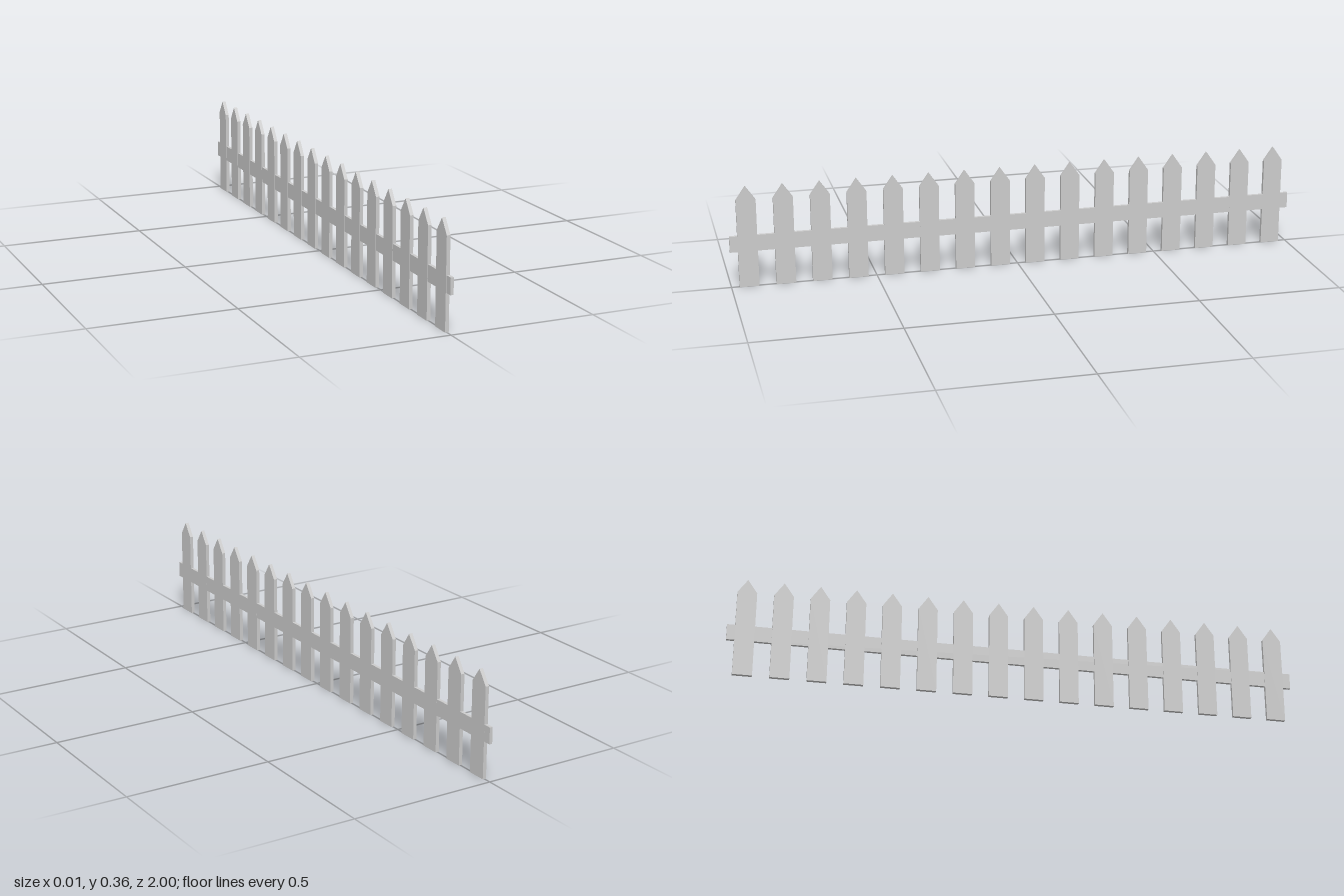
import * as THREE from 'three';

export function createModel() {
  const fence = new THREE.Group();
  fence.name = 'picketFence';
  const material = new THREE.MeshStandardMaterial({ color: 0xcccccc, flatShading: true });

  const count = 16, firstZ = 0.939;
  const halfWidth = 0.0335, shoulder = 0.308, tip = 0.356, thickness = 0.0126;

  // Pointed board, extruded and turned so its thickness runs along x
  const outline = new THREE.Shape([
    new THREE.Vector2(-halfWidth, 0),
    new THREE.Vector2(halfWidth, 0),
    new THREE.Vector2(halfWidth, shoulder),
    new THREE.Vector2(0, tip),
    new THREE.Vector2(-halfWidth, shoulder),
  ]);
  const picketGeometry = new THREE.ExtrudeGeometry(outline, { depth: thickness, bevelEnabled: false });
  picketGeometry.translate(0, 0, -thickness / 2).rotateY(Math.PI / 2);

  // Evenly spaced pickets
  for (let i = 0; i < count; i++) {
    const picket = new THREE.Mesh(picketGeometry, material);
    picket.name = `picket${i + 1}`;
    picket.position.z = firstZ - (2 * firstZ * i) / (count - 1);
    fence.add(picket);
  }

  // Horizontal rail, all but flush with the +x faces and recessed on the other side
  const rail = new THREE.Mesh(new THREE.BoxGeometry(0.0108, 0.056, 2), material);
  rail.name = 'rail';
  rail.position.set(0.0008, 0.155, 0);
  fence.add(rail);

  return fence;
}
